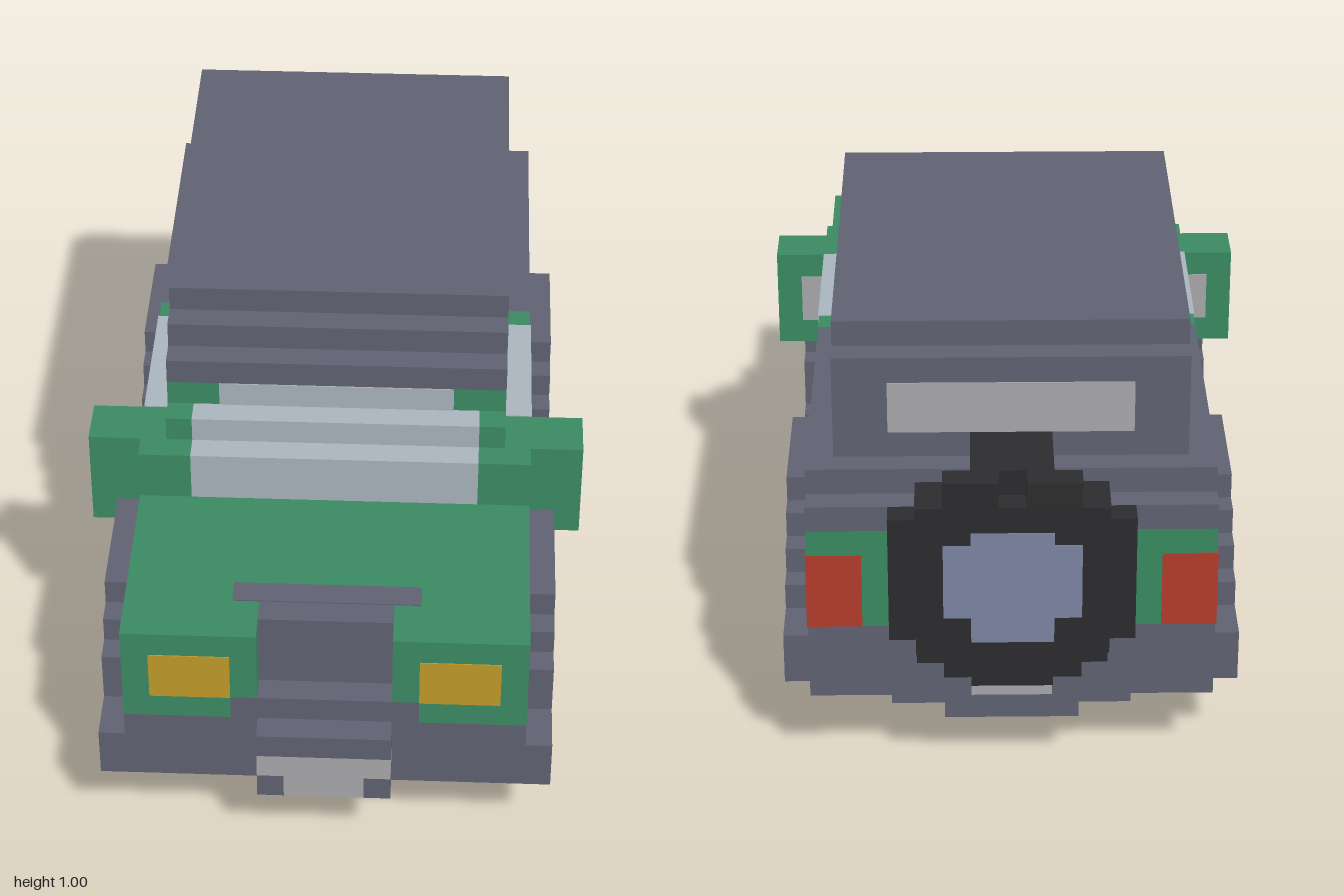
import * as THREE from 'three';

const U = 1 / 17; // one voxel
const E = 0.04;   // inlay thickness in voxels
const mats = {};
for (const [k, c] of Object.entries({
  green: 0x3a8a62, grey: 0x5f6171, black: 0x2c2c2e, glass: 0xa8b4bc,
  white: 0xa9a8ac, yellow: 0xc09a28, red: 0xb53c2c, hub: 0x7c84a2,
})) mats[k] = new THREE.MeshStandardMaterial({ color: c, flatShading: true });

export function createModel() {
  const model = new THREE.Group();

  // Block from ranges in voxels
  const block = (name, color, [x0, x1], [y0, y1], [z0, z1]) => {
    const m = new THREE.Mesh(
      new THREE.BoxGeometry((x1 - x0) * U, (y1 - y0) * U, (z1 - z0) * U), mats[color]);
    m.position.set((x0 + x1) / 2 * U, (y0 + y1) / 2 * U, (z0 + z1) / 2 * U);
    m.name = name;
    model.add(m);
  };
  // Block centred on x
  const mid = (name, color, w, y, z) => block(name, color, [-w, w], y, z);
  // Block on both sides
  const pair = (name, color, [a, b], y, z) => {
    block(name + 'Left', color, [a, b], y, z);
    block(name + 'Right', color, [-b, -a], y, z);
  };

  // Chassis and bumpers
  mid('chassis', 'grey', 6.5, [3, 7], [-14.5, 14]);
  mid('floor', 'grey', 7.5, [2, 6], [-2.5, 5.5]);
  mid('underbody', 'grey', 4.5, [2, 3], [-14, 13]);
  pair('sill', 'grey', [7.5, 8.5], [2, 4], [-2, 5]);
  mid('frontBumper', 'grey', 7.5, [3, 6], [13, 16]);
  mid('grilleBase', 'grey', 3.5, [6, 7], [13, 16]);
  mid('rearBumper', 'grey', 7.5, [3, 6], [-15, -11]);

  // Front plate holder
  mid('plateTop', 'grey', 2.5, [5, 6], [16, 17]);
  mid('plateUpper', 'white', 2.5, [4, 5], [16, 17]);
  mid('plateLower', 'white', 1.5, [3, 4], [16, 17]);
  pair('plateCorner', 'grey', [1.5, 2.5], [3, 4], [16, 17]);

  // Rear plate
  mid('rearPlateBase', 'grey', 2.5, [2, 6], [-15, -14]);
  mid('rearPlate', 'white', 1.5, [3, 5], [-15 - E, -14.9]);

  // Body and hood
  mid('body', 'green', 7.5, [7, 10], [-15, 14]);
  pair('doorLower', 'green', [6.5, 7.5 + E / 2], [6, 7], [-2, 5]);
  mid('tailgate', 'green', 7.5, [6, 7], [-15, -12]);
  pair('noseInner', 'green', [2.5, 3.5], [7, 10], [14, 16]);
  pair('noseOuter', 'green', [3.5, 7.5], [6, 10], [13, 16]);
  pair('headlight', 'yellow', [3.5, 6.5], [7, 9], [15.9, 16 + E]);
  mid('grille', 'grey', 2.5, [7, 10], [14, 15]);
  mid('hoodInlay', 'grey', 3.5, [9.9, 10 + E], [13, 14]);
  pair('tailLight', 'red', [5.5, 7.5 + E], [6, 9], [-15 - E, -14]);

  // Fender columns: z range, bottom, top
  const fenders = [
    [14, 16, 3, 5], [13, 14, 3, 7], [12, 13, 5, 8], [10, 12, 6, 9],
    [7, 10, 7, 9], [6, 7, 6, 8], [5, 6, 2, 7], [4, 5, 2, 5],
    [-2, -1, 2, 4], [-3, -2, 2, 7], [-4, -3, 5, 8], [-6, -4, 6, 9],
    [-8, -6, 7, 9], [-9, -8, 6, 9], [-10, -9, 6, 8], [-11, -10, 5, 7],
    [-12, -11, 3, 6], [-14, -12, 3, 5],
  ];
  for (const [z0, z1, y0, y1] of fenders)
    pair('fender', 'grey', [7.5, 8.5], [y0, y1], [z0, z1]);

  // Wheels: stepped tyre rows and a stepped hub face
  for (const [cz, inner] of [[9, 3], [-7, 4]]) {
    pair('tyreTread', 'black', [2.5, 7.5], [0, 1], [cz - 3, cz + 3]);
    // the front tyre stops at the sill; the rear one is full width
    pair('tyre', 'black', [2.5, 7.5], [1, 6], [cz - 4 + (4 - inner), cz + 4]);
    pair('tyreTop', 'black', [2.5, 7.5], [6, 7], [cz - 3, cz + 3]);
    pair('hub', 'hub', [7.4, 7.5 + E], [2, 5], [cz - 2, cz + 2]);
    pair('hubTop', 'hub', [7.4, 7.5 + E], [5, 6], [cz - 1, cz + 1]);
  }

  // Lower cabin
  mid('cabinLower', 'grey', 7.5, [10, 12], [-14, -2]);
  mid('rearLedge', 'grey', 7.5, [10, 11], [-15, -14]);
  mid('doorUpper', 'green', 7.5, [10, 12], [-2, 7]);
  pair('screenPillar', 'green', [5.5, 7.5], [10, 12], [7, 8]);
  mid('windscreenLower', 'glass', 5.5, [10, 12], [7, 8]);
  pair('sideWindowLower', 'glass', [6.5, 7.5 + E], [10, 12 + E], [-1, 5]);

  // Upper cabin and stepped roof
  mid('cabinUpper', 'grey', 6.5, [12, 16], [-13, -2]);
  mid('windowFrame', 'green', 6.5, [12, 15], [-2, 5]);
  mid('screenFrame', 'green', 6.5, [12, 14], [5, 6]);
  pair('screenFrameSide', 'green', [5.5, 6.5], [12, 13], [6, 7]);
  mid('windscreenMiddle', 'glass', 5.5, [12, 13], [6, 7]);
  mid('windscreenUpper', 'glass', 4.5, [13, 14], [5.9, 6 + E]);
  pair('sideWindowUpper', 'glass', [6.4, 6.5 + E], [12, 14], [-1, 4]);
  mid('roofBrow', 'grey', 6.5, [14, 15], [5, 6]);
  mid('roofEdge', 'grey', 6.5, [15, 16], [-2, 5]);
  mid('roof', 'grey', 6.5, [16, 17], [-12, 4]);
  mid('rearWindow', 'white', 4.5, [13, 15], [-13 - E, -12.9]);

  // Mirrors
  pair('mirror', 'green', [7.5, 9.5], [8, 12], [5, 7]);
  pair('mirrorGlass', 'white', [7.5, 8.5], [9, 11], [5 - E, 5.1]);

  // Spare wheel: inner layer, outer layer and hub
  mid('spareMount', 'black', 1.5, [10, 13], [-16, -13]);
  mid('spareTyreWide', 'black', 4.5, [6, 11], [-16, -15]);
  mid('spareTyreBack', 'black', 3.5, [5, 12], [-16, -15]);
  mid('spareTyreTall', 'black', 1.5, [4, 13], [-16, -15]);
  mid('spareTyreFace', 'black', 3.5, [6, 12], [-17, -16]);
  mid('spareTyreFoot', 'black', 2.5, [5, 6], [-17, -16]);
  pair('spareTyreLug', 'black', [0.5, 2.5], [12, 13], [-17, -16]);
  mid('spareHub', 'hub', 2.5, [7.5, 10.5], [-17 - E / 2, -16.9]);
  mid('spareHubTall', 'hub', 1.5, [6.5, 11], [-17 - E, -16.9]);

  return model;
}
